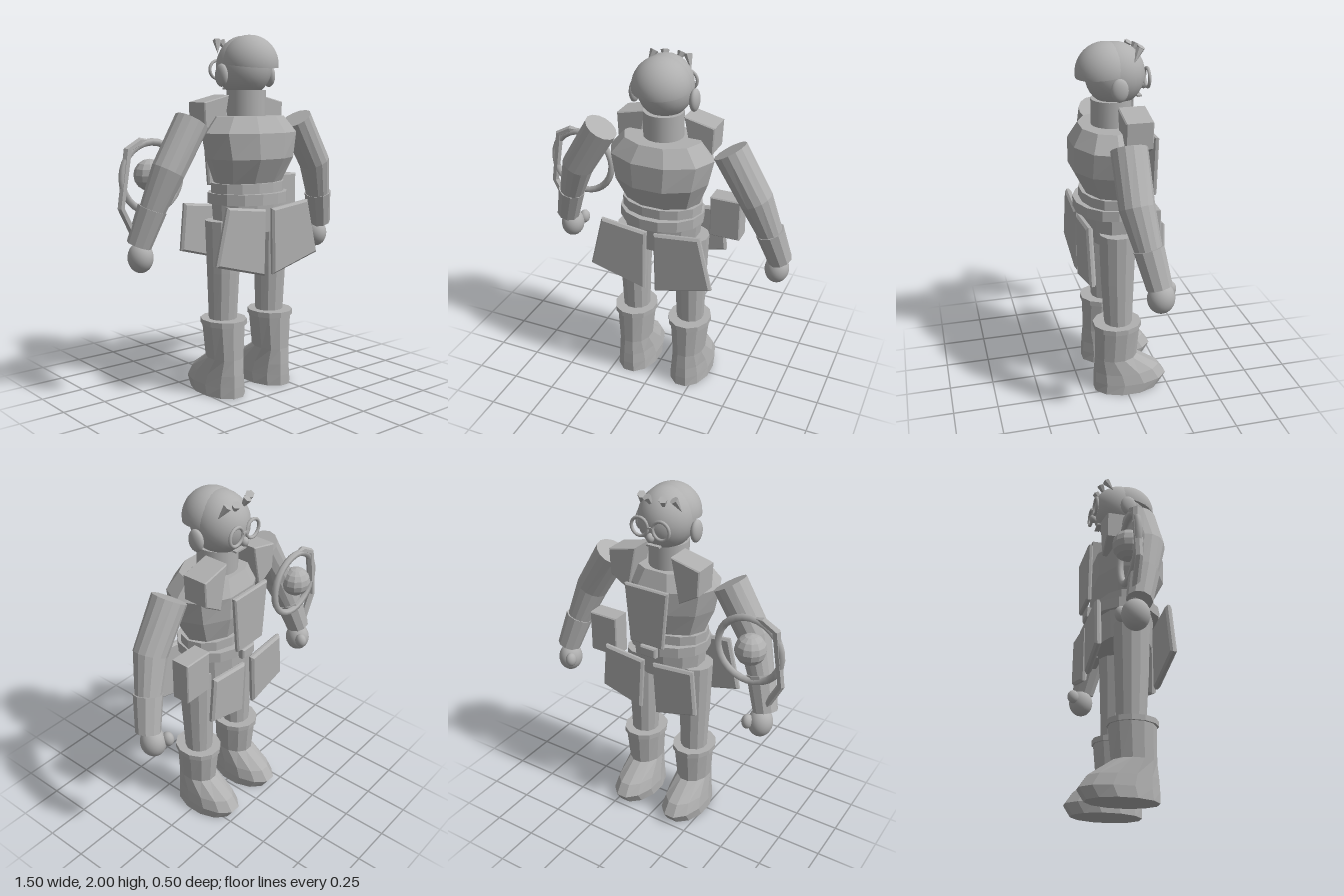
import * as THREE from 'three';

const V = (x, y, z) => new THREE.Vector3(x, y, z);

// Faceted normals
function flat(geo) {
  const g = geo.index ? geo.toNonIndexed() : geo;
  g.computeVertexNormals();
  return g;
}

// Closed faceted skin over a list of equal-sized rings
function loft(rings) {
  const n = rings[0].length, pos = [], idx = [];
  rings.forEach(r => r.forEach(p => pos.push(p.x, p.y, p.z)));
  const last = rings.length - 1;
  for (let i = 0; i < last; i++) {
    for (let j = 0; j < n; j++) {
      const a = i * n + j, b = i * n + (j + 1) % n, c = a + n, d = b + n;
      idx.push(a, b, d, a, d, c);
    }
  }
  for (let j = 1; j < n - 1; j++) {
    idx.push(0, j + 1, j, last * n, last * n + j, last * n + j + 1);
  }
  const g = new THREE.BufferGeometry();
  g.setAttribute('position', new THREE.Float32BufferAttribute(pos, 3));
  g.setIndex(idx);
  return flat(g);
}

// Upright form: rows are [y, half width, back z, front z], bottom to top
function upright(rows, n, x = 0) {
  return loft(rows.map(([y, rx, zb, zf]) => Array.from({ length: n }, (_, j) => {
    const a = (j + 0.5) / n * Math.PI * 2;
    return V(x + rx * Math.sin(a), y, (zb + zf) / 2 + (zb - zf) / 2 * Math.cos(a));
  })));
}

// Limb: rows are [point, radius], rings square to the path
function limb(rows, n) {
  return loft(rows.map(([p, r], i) => {
    const from = rows[Math.max(i - 1, 0)][0], to = rows[Math.min(i + 1, rows.length - 1)][0];
    const t = to.clone().sub(from).normalize();
    const u = V(1, 0, 0).addScaledVector(t, -t.x).normalize();
    const v = t.clone().cross(u);
    return Array.from({ length: n }, (_, j) => {
      const a = j / n * Math.PI * 2;
      return p.clone().addScaledVector(u, r * Math.cos(a)).addScaledVector(v, r * Math.sin(a));
    });
  }));
}

// Bevelled plate from an outline in the xy plane, between z0 and z1
function plate(points, z0, z1, bevel = 0.008) {
  const shape = new THREE.Shape(points.map(([x, y]) => new THREE.Vector2(x, y)));
  const g = new THREE.ExtrudeGeometry(shape, {
    depth: z1 - z0 - 2 * bevel, bevelEnabled: bevel > 0, bevelSize: bevel,
    bevelOffset: -bevel, bevelThickness: bevel, bevelSegments: 1,
  });
  return g.translate(0, 0, z0 + bevel);
}

export function createModel() {
  const grey = new THREE.MeshStandardMaterial({ color: 0xb0b0b0 });
  grey.name = 'plainGrey';
  const model = new THREE.Group();
  model.name = 'figure';
  const body = new THREE.Group();
  body.name = 'body';
  body.position.x = 0.03;
  model.add(body);

  const add = (name, geo, parent = body) => {
    const m = new THREE.Mesh(geo, grey);
    m.name = name;
    parent.add(m);
    return m;
  };
  const ball = (name, p, r, parent = body) => {
    const m = add(name, new THREE.SphereGeometry(1, 24, 16), parent);
    m.position.set(...p);
    m.scale.set(...r);
    return m;
  };

  // Head, hair cap and neck
  ball('head', [0, 1.83, 0.01], [0.152, 0.168, 0.162]);
  const cap = add('hairCap', new THREE.SphereGeometry(1, 28, 12, 0, Math.PI * 2, 0, 1.6));
  cap.scale.set(0.157, 0.16, 0.162);
  const capGroup = new THREE.Group();
  capGroup.name = 'hair';
  capGroup.position.set(0, 1.84, 0.06);
  capGroup.rotation.x = 0.12;
  capGroup.add(cap);
  const capBase = add('hairCapUnderside', new THREE.CircleGeometry(1, 28), capGroup);
  capBase.rotation.x = Math.PI / 2;
  capBase.scale.set(0.157, 0.162, 1);
  body.add(capGroup);
  add('neck', new THREE.CylinderGeometry(0.11, 0.11, 0.16, 20).translate(0, 1.62, 0.03));

  // Hair tufts along the forehead
  [[-0.12, -0.075, 0.3], [-0.05, -0.1, -0.2], [0.025, -0.105, 0.25], [0.095, -0.085, -0.4]].forEach(([x, z, roll]) => {
    const tuft = add('hairTuft', flat(new THREE.ConeGeometry(0.024, 0.085, 6)));
    tuft.position.set(x, 1.935, z);
    tuft.rotation.set(Math.PI - 0.5, 0, roll);
  });

  // Face
  ball('nose', [0, 1.765, -0.15], [0.022, 0.026, 0.022]);
  add('mouth', new THREE.BoxGeometry(0.08, 0.01, 0.025).translate(0, 1.71, -0.118));
  add('glassesBridge', new THREE.BoxGeometry(0.04, 0.01, 0.012).translate(0, 1.82, -0.155));

  // Torso, waist, belt and hips
  add('torso', upright([
    [1.19, 0.215, 0.19, -0.1], [1.33, 0.27, 0.265, -0.14],
    [1.47, 0.3, 0.265, -0.15], [1.56, 0.22, 0.21, -0.11],
  ], 10));
  add('waist', upright([[1.13, 0.23, 0.21, -0.12], [1.195, 0.23, 0.21, -0.12]], 14));
  add('belt', upright([[1.08, 0.24, 0.245, -0.16], [1.14, 0.24, 0.245, -0.16]], 14));
  add('hips', upright([[0.92, 0.21, 0.19, -0.12], [1.09, 0.225, 0.205, -0.13]], 12));
  add('buckle', plate([[-0.05, 1.08], [0.05, 1.08], [0.05, 1.14], [-0.05, 1.14]], -0.195, -0.155));
  add('chestPlate', plate([[-0.135, 1.5], [0.135, 1.5], [0.105, 1.16], [-0.105, 1.16]], -0.205, -0.175));
  add('pouch', plate([[0.255, 0.97], [0.43, 0.97], [0.43, 1.21], [0.255, 1.21]], -0.13, -0.02, 0.006));

  // Mirrored parts
  for (const s of [-1, 1]) {
    const flip = pts => pts.map(([x, y]) => [s * x, y]);
    ball('ear', [s * 0.17, 1.78, 0.025], [0.026, 0.062, 0.047]);
    add('glassesRing', new THREE.TorusGeometry(0.05, 0.009, 8, 20).translate(s * 0.065, 1.815, -0.15));
    add('collar', plate(flip([[0.11, 1.675], [0.282, 1.635], [0.275, 1.49], [0.16, 1.42]]), -0.13, 0.02, 0.006));

    // Skirt flaps
    add('backFlap', plate(flip([[0.022, 1.055], [0.29, 1.087], [0.365, 0.775], [0.03, 0.685]]), 0.2, 0.238, 0.012));
    add('frontFlap', plate(flip([[0.03, 1.045], [0.285, 1.07], [0.31, 0.8], [0.05, 0.73]]), -0.198, -0.16, 0.012));

    // Arm, cuff and hand
    add('arm', limb([
      [V(s * 0.375, 1.535, 0.03), 0.096], [V(s * 0.53, 1.28, 0.03), 0.092],
      [V(s * 0.61, 1.06, -0.015), 0.07],
    ], 14));
    add('cuff', limb([[V(s * 0.604, 1.085, -0.012), 0.08], [V(s * 0.663, 0.89, -0.055), 0.068]], 10));
    ball('hand', [s * 0.645, 0.82, -0.07], [0.068, 0.083, 0.073]);
    ball('thumb', [s * 0.595, 0.84, -0.13], [0.03, 0.042, 0.035]);

    // Leg and boot
    add('leg', upright([[0.38, 0.078, 0.11, -0.045], [0.7, 0.09, 0.13, -0.055], [0.99, 0.1, 0.14, -0.065]], 12, s * 0.172));
    add('boot', upright([
      [0, 0.123, 0.182, -0.215], [0.06, 0.122, 0.182, -0.255], [0.125, 0.112, 0.178, -0.21],
      [0.215, 0.097, 0.168, -0.075], [0.415, 0.115, 0.168, -0.092],
    ], 12, s * 0.172));
    add('bootRim', upright([[0.405, 0.125, 0.18, -0.1], [0.435, 0.125, 0.18, -0.1]], 12, s * 0.172));
  }

  // Hand-held frame with ring and orb
  const device = new THREE.Group();
  device.name = 'heldDevice';
  model.add(device);
  add('ring', new THREE.TorusGeometry(0.185, 0.02, 6, 28).translate(-0.53, 1.245, -0.08), device);
  add('orb', flat(new THREE.SphereGeometry(0.086, 12, 8).translate(-0.54, 1.255, -0.085)), device);
  const path = [[-0.5, 1.435], [-0.6, 1.435], [-0.675, 1.395], [-0.722, 1.09], [-0.62, 0.89]];
  add('frame', limb(path.map(([x, y]) => [V(x, y, -0.08), 0.021]).map(([p, r], i) => [p, i === 2 ? r * 1.15 : r]), 6), device);
  return model;
}
